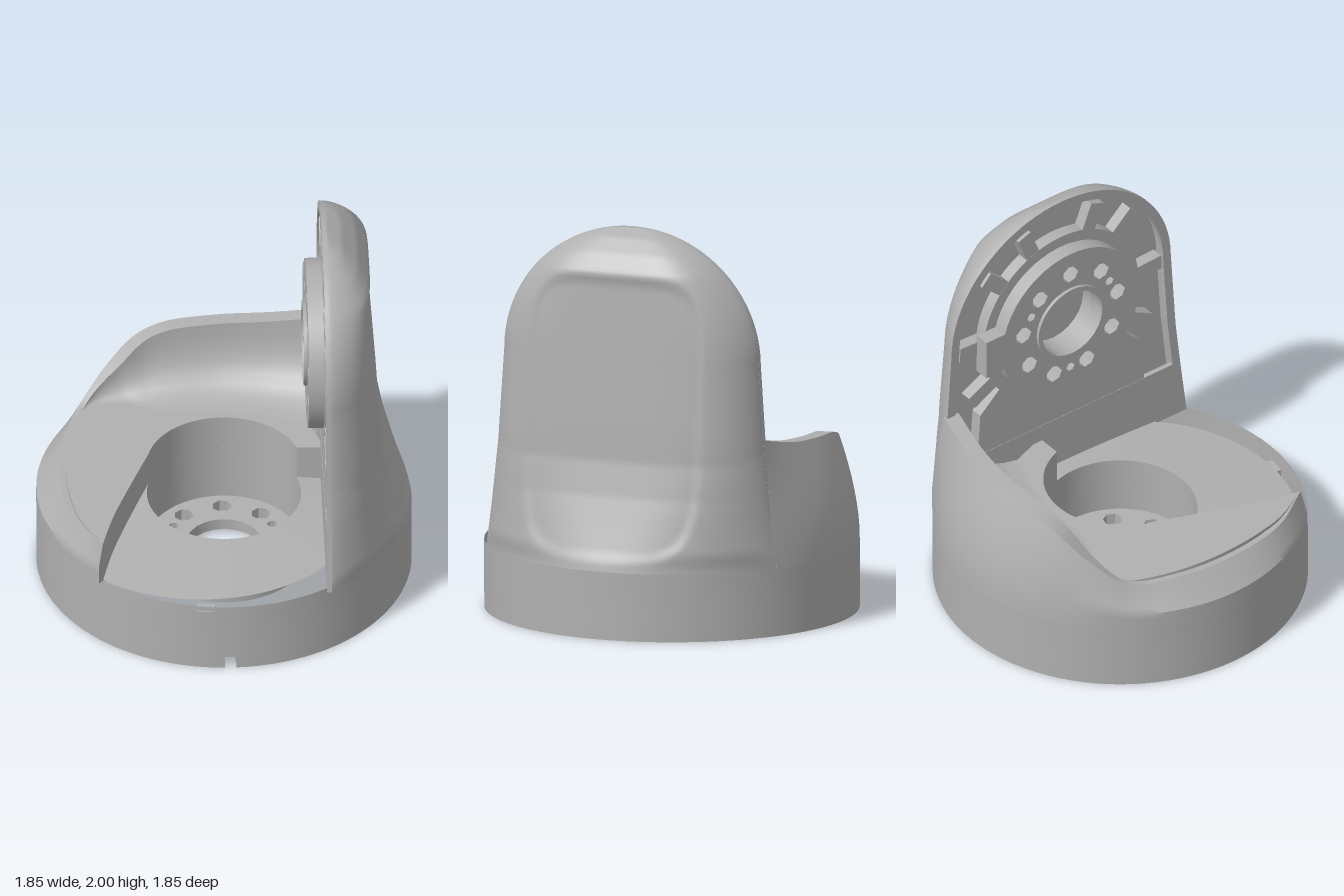
import * as THREE from 'three';
import { toCreasedNormals } from 'three/addons/utils/BufferGeometryUtils.js';

const grey = new THREE.MeshStandardMaterial({ color: 0xb0b0b0, side: THREE.DoubleSide });
grey.name = 'grey plastic';
const V2 = (x, y) => new THREE.Vector2(x, y);
const V3 = (x, y, z) => new THREE.Vector3(x, y, z);
const rad = THREE.MathUtils.degToRad;

function part(parent, name, geometry) {
  const mesh = new THREE.Mesh(geometry, grey);
  mesh.name = name;
  parent.add(mesh);
  return mesh;
}

// Linear interpolation through [key, value] pairs
function interp(keys, k) {
  for (let i = 1; i < keys.length; i++) {
    const [a, va] = keys[i - 1], [b, vb] = keys[i];
    if (k <= b) return va + (vb - va) * Math.max(0, (k - a) / (b - a));
  }
  return keys[keys.length - 1][1];
}

// Surface over a grid of points p(i, j)
function grid(nu, nv, p) {
  const pos = [], idx = [];
  for (let i = 0; i <= nu; i++) for (let j = 0; j <= nv; j++) pos.push(...p(i, j).toArray());
  for (let i = 0; i < nu; i++) for (let j = 0; j < nv; j++) {
    const a = i * (nv + 1) + j, b = a + nv + 1;
    idx.push(a, b, a + 1, b, b + 1, a + 1);
  }
  const g = new THREE.BufferGeometry();
  g.setAttribute('position', new THREE.Float32BufferAttribute(pos, 3));
  g.setIndex(idx);
  return toCreasedNormals(g, 0.6);
}

const lathe = (pts, start = 0, length = Math.PI * 2) =>
  toCreasedNormals(new THREE.LatheGeometry(pts.map(p => V2(...p)), 96, start, length), 0.5);

const extrude = (shape, depth) => toCreasedNormals(
  new THREE.ExtrudeGeometry(shape, { depth, bevelEnabled: false, curveSegments: 32 }), 0.5);

// Shape in (x, -z), raised from y0 to y1
const slabY = (shape, y0, y1) => extrude(shape, y1 - y0).rotateX(-Math.PI / 2).translate(0, y0, 0);
// Shape in (z, y), spanning x0 to x1
const slabX = (shape, x0, x1) => extrude(shape, x1 - x0).rotateY(-Math.PI / 2).translate(x1, 0, 0);

function circlePath(cx, cy, r, n) {
  const pts = [];
  for (let i = 0; i < n; i++) pts.push(V2(cx + r * Math.cos(i / n * 2 * Math.PI), cy + r * Math.sin(i / n * 2 * Math.PI)));
  return new THREE.Path(pts);
}

// Round flange with a bore, nine bolt holes and three pin holes
function flangeShape(cy, r) {
  const s = new THREE.Shape(circlePath(0, cy, r, 64).getPoints());
  s.holes.push(circlePath(0, cy, 0.185, 24));
  for (let i = 0; i < 9; i++) {
    const a = Math.PI / 2 + i * Math.PI * 2 / 9;
    s.holes.push(circlePath(0.295 * Math.cos(a), cy + 0.295 * Math.sin(a), 0.048, 7));
  }
  for (let i = 0; i < 3; i++) {
    const a = -Math.PI / 2 + i * Math.PI * 2 / 3;
    s.holes.push(circlePath(0.28 * Math.cos(a), cy + 0.28 * Math.sin(a), 0.025, 6));
  }
  return s;
}

// Edge of the raised deck, in (x, -z)
const stepEdge = new THREE.SplineCurve([V2(-0.62, -0.645), V2(-0.56, -0.42), V2(-0.47, -0.17), V2(-0.368, 0.094)]).getPoints(14);
const deckY = 0.57;

// Arm half width and outer reach by height
const armWidth = y => y > 1.35
  ? 0.68 * Math.sqrt(Math.max(0, 1 - ((y - 1.35) / 0.65) ** 2))
  : interp([[0.345, 0.778], [0.42, 0.768], [0.6, 0.745], [0.9, 0.71], [1.35, 0.68]], y);
const armReach = y => interp([[0.345, 0.925], [0.42, 0.91], [0.55, 0.865], [0.7, 0.815], [0.87, 0.778], [1.05, 0.768],
  [1.45, 0.74], [1.8, 0.715], [1.89, 0.655], [1.96, 0.58], [2, 0.5]], y);
const armLevel = s => s < 0.6 ? 0.345 + 1.005 * s / 0.6 : 1.35 + 0.65 * Math.sin((s - 0.6) / 0.4 * Math.PI / 2);

function armOutline(scale, minY) {
  const right = [];
  for (let i = 0; i <= 50; i++) {
    const y = armLevel(i / 50);
    const sy = 1.3 + (y - 1.3) * scale;
    if (sy >= minY) right.push(V2(armWidth(y) * scale, sy));
  }
  return [...right, ...right.slice(0, -1).reverse().map(p => V2(-p.x, p.y))];
}

function buildBase(root) {
  const base = new THREE.Group();
  base.name = 'base';
  root.add(base);
  part(base, 'drumWall', lathe([[0.885, 0.345], [0.885, 0.07], [0.925, 0.07], [0.925, 0.345]]));
  // Lower edge, open at the front notch
  part(base, 'notchedRim', lathe([[0.885, 0.07], [0.885, 0.01], [0.925, 0.005], [0.925, 0.07]], 0.03, Math.PI * 2 - 0.06));
  part(base, 'bearingTube', lathe([[0.42, 0.03], [0.42, 0.385], [0.38, 0.39], [0.38, 0.06]]));
  part(base, 'mountingFlange', slabY(flangeShape(0, 0.42), 0.03, 0.09));
  // Low front deck between the opening, the step, the arm and the drum wall
  const stepReach = stepEdge.map(p => [Math.atan2(-p.y, p.x), p.length()]).reverse();
  stepReach.sort((a, b) => a[0] - b[0]);
  part(base, 'lowDeck', grid(96, 6, (i, j) => {
    const a = rad(-18) + rad(212) * i / 96;
    const wall = Math.cos(a) > 0 ? Math.min(0.925, 0.5 / Math.cos(a)) : 0.925;
    const limit = a > stepReach[0][0] ? interp(stepReach, a) : wall;
    const r = 0.38 + (Math.max(0.38, limit) - 0.38) * j / 6;
    return V3(r * Math.cos(a), 0.39 - (r - 0.38) * 0.083, r * Math.sin(a));
  }));
  // Underside stiffeners
  for (let i = 0; i < 10; i++) {
    part(base, 'gusset', new THREE.BoxGeometry(0.08, 0.17, 0.035).translate(0.45, 0.24, 0).rotateY((i + 0.5) * Math.PI / 5));
  }
  for (const deg of [98, 145, 190, 280, 330]) {
    part(base, 'wallBracket', new THREE.BoxGeometry(0.07, 0.26, 0.09).translate(0.86, 0.19, 0).rotateY(-rad(deg)));
  }
}

function buildShroud(root) {
  const N = 80;
  const rim = new THREE.CatmullRomCurve3([
    V3(0.5, 0.98, -0.712), V3(0.24, 0.93, -0.757), V3(0, 0.91, -0.775), V3(-0.28, 0.885, -0.755), V3(-0.42, 0.83, -0.72),
    V3(-0.56, 0.71, -0.64), V3(-0.7, 0.575, -0.49), V3(-0.79, 0.555, -0.22), V3(-0.81, 0.55, 0.1),
    V3(-0.76, 0.555, 0.4), V3(-0.62, 0.57, 0.645)], false, 'centripetal');
  const inner = [], rows = [];
  for (let i = 0; i <= N; i++) {
    const u = i / N, top = rim.getPoint(u), t = rim.getTangent(u);
    const inward = V3(t.z, 0, -t.x).normalize();
    const a = Math.atan2(top.z, top.x);
    const foot = V3(0.925 * Math.cos(a), 0.345, 0.925 * Math.sin(a));
    const shoulder = V3(foot.x, 0.345 + (top.y - 0.345) * 0.42, foot.z);
    // Rounded at the tall back, a straight chamfer along the low side
    const round = THREE.MathUtils.smoothstep(top.y, 0.58, 0.8);
    const outer = new THREE.QuadraticBezierCurve3(foot, shoulder, top).getPoints(8).map((p, j) => {
      const flat = j < 3 ? foot.clone().lerp(shoulder, j / 3) : shoulder.clone().lerp(top, (j - 3) / 5);
      return flat.lerp(p, round);
    });
    const lip = top.clone().addScaledVector(inward, (0.03 + 0.05 * round) * Math.min(1, (1 - u) * 8));
    const corner = V3(lip.x, Math.min(deckY, lip.y), lip.z);
    const end = corner.clone().addScaledVector(inward, 0.8 * Math.max(0, lip.y - deckY));
    rows.push([...outer, ...new THREE.QuadraticBezierCurve3(lip, corner, end).getPoints(8)]);
    inner.push(V2(end.x, -end.z));
  }
  part(root, 'backShroud', grid(N, 17, (i, j) => rows[i][j]));
  // Front end of the side wall below the rim
  const tip = rows[N];
  part(root, 'sideWallEnd', grid(8, 1, (i, j) => j ? V3(tip[8].x, tip[i].y, tip[8].z) : tip[i]));

  // Raised deck, cut by the step edge and the round opening
  const arc = [];
  for (let i = 0; i <= 32; i++) {
    const a = rad(165.6 - 147.6 * i / 32);
    arc.push(V2(0.38 * Math.cos(a), 0.38 * Math.sin(a)));
  }
  const outline = [...inner, ...stepEdge.slice(1, -1), ...arc, V2(0.5, 0.117)];
  part(root, 'raisedDeck', slabY(new THREE.Shape(outline), 0.535, deckY));
  // Walls from the low deck up to the raised deck
  const wall = (name, pts) => part(root, name, grid(pts.length - 1, 1,
    (i, j) => V3(pts[i].x, j ? deckY : 0.34, -pts[i].y)));
  wall('stepWall', stepEdge);
  wall('armSideStep', [arc[32], V2(0.5, 0.117)]);
  part(root, 'openingWall', lathe([[0.42, 0.33], [0.42, 0.55], [0.38, 0.55], [0.38, 0.33]], rad(108), rad(147.6)));
}

function buildArm(root) {
  const arm = new THREE.Group();
  arm.name = 'arm';
  root.add(arm);
  // Curved outer skin growing out of the drum, with a shallow recessed panel
  const NU = 100, NV = 90;
  part(arm, 'outerSkin', grid(NU, NV, (i, j) => {
    const y = armLevel(i / NU), t = Math.sin((j / NV - 0.5) * Math.PI), z = armWidth(y) * t;
    const blend = THREE.MathUtils.smoothstep(y, 0.35, 1.0);
    const box = Math.max(0, 1 - Math.abs(t) ** (2.35 + 2 * blend)) ** (0.78 - 0.08 * blend);
    const drum = Math.max(0, Math.sqrt(0.925 ** 2 - z * z) - 0.5) / 0.425;
    const f = THREE.MathUtils.lerp(drum, box, THREE.MathUtils.smoothstep(y, 0.345, 0.46));
    const d = Math.abs(z / 0.46) ** 5 + Math.abs((y - 1.09) / 0.69) ** 5;
    const recess = 0.014 * (1 - THREE.MathUtils.smoothstep(d, 0.7, 1.15));
    return V3(0.5 + (armReach(y) - 0.5) * f - recess, y, z);
  }));

  // Inner frame around the pockets
  const frame = new THREE.Shape(armOutline(1, 0));
  frame.holes.push(new THREE.Path(armOutline(0.93, 0.64)));
  part(arm, 'innerFrame', slabX(frame, 0.48, 0.505));
  part(arm, 'pocketFloor', slabX(new THREE.Shape(armOutline(0.94, 0.5)), 0.545, 0.55));

  // Web that carries the joint flange
  const web = new THREE.Shape();
  web.moveTo(0.52, 0.6);
  web.lineTo(0.5, 0.9);
  web.absarc(0, 1.3, 0.48, -0.65, Math.PI + 0.65, false);
  web.lineTo(-0.5, 0.9);
  web.lineTo(-0.52, 0.6);
  web.holes.push(circlePath(0, 1.3, 0.185, 24));
  part(arm, 'web', slabX(web, 0.482, 0.545));
  for (const a of [0.05, 0.75, 1.2, 1.94, 2.4, Math.PI - 0.05, -0.5, Math.PI + 0.5]) {
    const rib = part(arm, 'rib', new THREE.BoxGeometry(0.062, 0.08, 0.17).translate(0, 0, 0.54));
    rib.rotation.x = -a;
    rib.position.set(0.514, 1.3, 0);
  }

  // Joint flange facing inwards
  part(arm, 'jointFlange', slabX(flangeShape(1.3, 0.42), 0.405, 0.482));
  const collar = new THREE.Shape(circlePath(0, 1.3, 0.21, 32).getPoints());
  collar.holes.push(circlePath(0, 1.3, 0.185, 24));
  part(arm, 'jointCollar', slabX(collar, 0.388, 0.406));
  part(arm, 'flangeLug', new THREE.BoxGeometry(0.08, 0.22, 0.14).translate(0.445, 1.3, -0.45));
}

export function createModel() {
  const root = new THREE.Group();
  root.name = 'jointBracket';
  buildBase(root);
  buildShroud(root);
  buildArm(root);
  return root;
}
